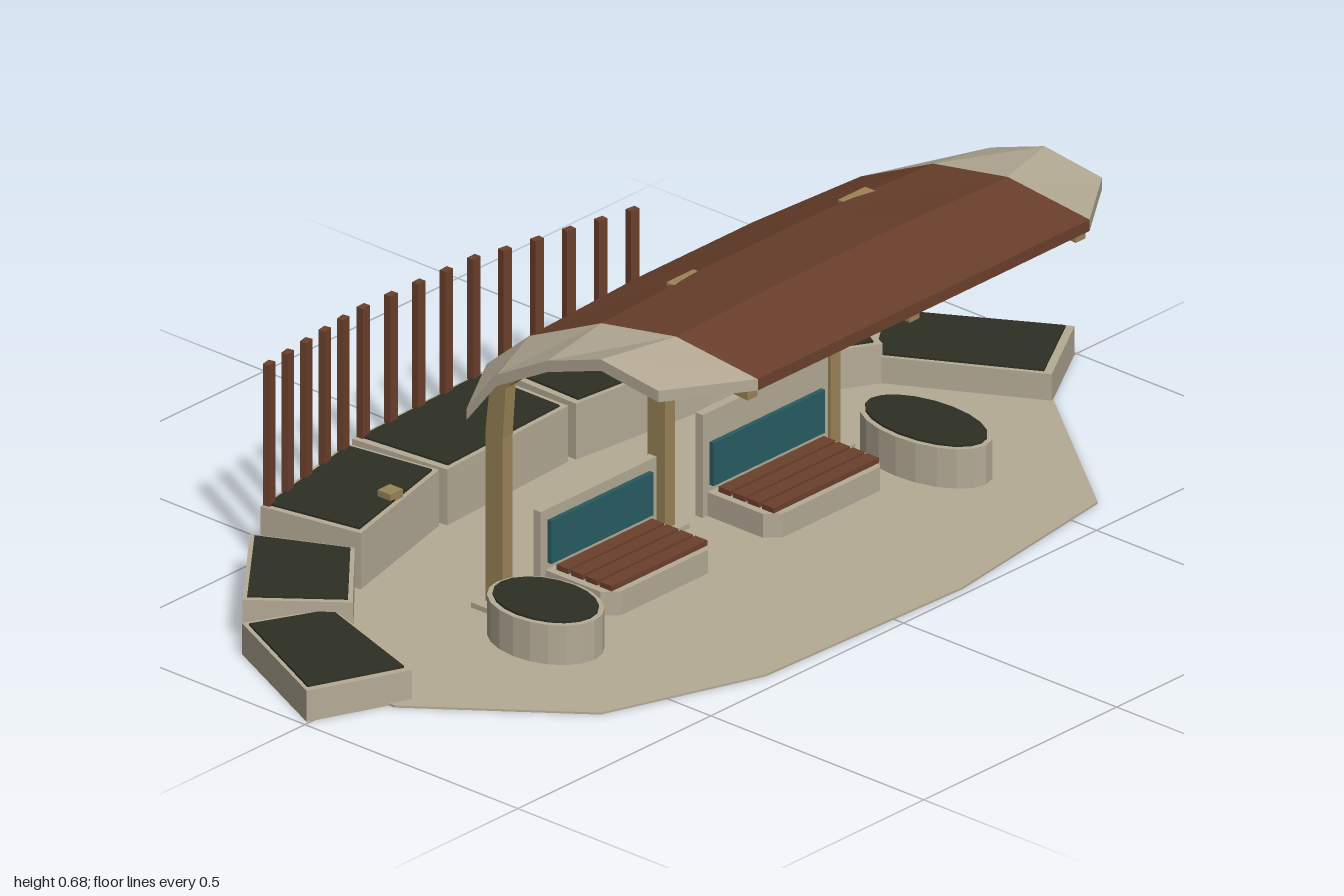
import * as THREE from 'three';

const mat = (name, color) => Object.assign(new THREE.MeshStandardMaterial({ color }), { name });

export function createModel() {
  const root = new THREE.Group();
  root.name = 'shelterPlaza';
  const stone = mat('stone', 0xb5ab96);
  const wood = mat('redBrownWood', 0x6b402c);
  const soil = mat('darkPlanting', 0x2e2f24);
  const timber = mat('tanTimber', 0x9a8357);
  const teal = mat('tealPanel', 0x285c62);

  const add = (name, geo, material, parent = root) => {
    const m = new THREE.Mesh(geo, material);
    m.name = name;
    parent.add(m);
    return m;
  };
  const box = (name, x0, x1, y0, y1, z0, z1, material, parent) => {
    const m = add(name, new THREE.BoxGeometry(x1 - x0, y1 - y0, z1 - z0), material, parent);
    m.position.set((x0 + x1) / 2, (y0 + y1) / 2, (z0 + z1) / 2);
    return m;
  };
  // Upright prism over a plan outline of [x, z] points
  const prism = (pts, y0, y1) => {
    const s = new THREE.Shape(pts.map(([x, z]) => new THREE.Vector2(x, -z)));
    const g = new THREE.ExtrudeGeometry(s, { depth: y1 - y0, bevelEnabled: false });
    return g.rotateX(-Math.PI / 2).translate(0, y0, 0);
  };

  // Paved floor
  add('floor', prism([
    [0.1, -0.83], [0.43, -0.58], [0.485, -0.17], [0.465, 0.32], [0.355, 0.625], [0.07, 0.845],
    [-0.1, 0.85], [-0.2, 0.74], [-0.33, 0.58], [-0.4, 0.27], [-0.41, -0.09], [-0.37, -0.43], [-0.21, -0.71], [-0.1, -0.8],
  ], 0, 0.004), stone);

  // Ring of planters: outer edge first, then inner edge
  const planters = [
    [0.055, [-0.3, -0.82], [0, -0.995], [0.1, -0.825], [-0.19, -0.665]],
    [0.08, [-0.5, -0.48], [-0.34, -0.77], [-0.165, -0.68], [-0.325, -0.4]],
    [0.112, [-0.555, -0.1], [-0.515, -0.44], [-0.32, -0.415], [-0.355, -0.095]],
    [0.112, [-0.55, 0.27], [-0.565, -0.08], [-0.36, -0.08], [-0.345, 0.25]],
    [0.112, [-0.487, 0.577], [-0.545, 0.29], [-0.355, 0.26], [-0.285, 0.54]],
    [0.083, [-0.3, 0.83], [-0.467, 0.627], [-0.295, 0.545], [-0.15, 0.71]],
    [0.06, [-0.005, 0.99], [-0.27, 0.865], [-0.195, 0.715], [0.075, 0.805]],
  ];
  for (const [h, ...q] of planters) {
    const g = new THREE.Group();
    g.name = 'planter';
    root.add(g);
    const cx = q.reduce((a, p) => a + p[0] / 4, 0), cz = q.reduce((a, p) => a + p[1] / 4, 0);
    add('planterWall', prism(q, 0, h), stone, g);
    add('planting', prism(q.map(([x, z]) => [cx + (x - cx) * 0.91, cz + (z - cz) * 0.92]), h, h + 0.004), soil, g);
  }

  // Screen of upright slats along the three tall planters, stepping down in height
  let count = 0;
  for (const k of [4, 3, 2]) {
    const [, a, b] = planters[k];
    for (let i = 0; i < 5; i++, count++) {
      const t = 0.06 + 0.215 * i, top = 0.385 - 0.0043 * count;
      const m = add('screenSlat', new THREE.BoxGeometry(0.014, top - 0.1, 0.02), wood);
      m.position.set(a[0] + (b[0] - a[0]) * t + 0.008, (top + 0.1) / 2, a[1] + (b[1] - a[1]) * t);
      m.rotation.y = Math.atan2(a[0] - b[0], a[1] - b[1]);
    }
  }

  // Small lamps on the inner rims
  for (const [x, z] of [[-0.36, -0.24], [-0.375, 0.085], [-0.343, 0.4]])
    box('rimLamp', x - 0.015, x + 0.015, 0.11, 0.128, z - 0.016, z + 0.016, timber);

  // Oval planters
  for (const [x, z, a, b] of [[0.09, 0.475, 0.115, 0.085], [0.1, -0.5, 0.14, 0.08]]) {
    const wall = add('ovalPlanter', new THREE.CylinderGeometry(1, 1, 0.08, 20), stone);
    wall.position.set(x, 0.04, z);
    wall.scale.set(a, 1, b);
    const top = add('ovalPlanting', new THREE.CylinderGeometry(1, 1, 0.004, 20), soil);
    top.position.set(x, 0.082, z);
    top.scale.set(a - 0.01, 1, b - 0.01);
  }
  root.traverse((o) => {
    if (!o.name.startsWith('oval')) return;
    o.geometry = o.geometry.toNonIndexed();
    o.geometry.computeVertexNormals();
  });

  // Benches with slatted seats and coloured backs
  for (const [z0, z1, top] of [[0.05, 0.35, 0.166], [-0.395, -0.07, 0.203]]) {
    const g = new THREE.Group();
    g.name = 'bench';
    root.add(g);
    box('backWall', -0.052, -0.035, 0, top, z0, z1, stone, g);
    box('backPanel', -0.035, -0.026, 0.062, 0.145, z0 + 0.018, z1 - 0.018, teal, g);
    const a = z0 + 0.012, b = z1 - 0.012, c = 0.025;
    add('seatBase', prism([[-0.035, a], [0.12 - c, a], [0.12, a + c], [0.12, b - c], [0.12 - c, b], [-0.035, b]], 0, 0.05), stone, g);
    for (let i = 0; i < 4; i++)
      box('seatSlat', -0.022 + i * 0.034, 0.006 + i * 0.034, 0.05, 0.06, a + 0.014, b - 0.014, wood, g);
  }

  // Posts that bend into the roof ribs
  const rib = new THREE.Shape([
    [-0.08, 0], [-0.04, 0], [-0.04, 0.34], [-0.033, 0.44], [0.05, 0.51], [0.2, 0.582], [0.365, 0.614], [0.535, 0.6],
    [0.535, 0.626], [0.365, 0.645], [0.18, 0.612], [0.01, 0.532], [-0.066, 0.468], [-0.08, 0.35],
  ].map(([x, y]) => new THREE.Vector2(x, y)));
  for (const z of [-0.42, 0.01, 0.43]) {
    const g = new THREE.ExtrudeGeometry(rib, { depth: 0.026, bevelEnabled: false });
    add('postAndRib', g.translate(0, 0, z - 0.013), timber);
    box('postFoot', -0.095, -0.025, 0, 0.014, z - 0.035, z + 0.035, stone);
  }

  // Curved roof: a loft through stations [z, top profile]
  const mid = [[-0.1, 0.473], [0.01, 0.562], [0.18, 0.641], [0.365, 0.675], [0.567, 0.655]];
  const edge = [[-0.09, 0.463], [0.01, 0.55], [0.18, 0.63], [0.355, 0.661], [0.547, 0.641]];
  const end = [[-0.005, 0.457], [0.065, 0.545], [0.185, 0.611], [0.31, 0.654], [0.445, 0.637]];
  const loft = (stations) => {
    const n = 10, pos = [], idx = [], last = (stations.length - 1) * n;
    for (const [z, top] of stations) {
      for (const [x, y] of top) pos.push(x, y, z);
      for (const [x, y] of [...top].reverse()) pos.push(x, y - 0.022, z);
    }
    for (let s = 0; s < last; s += n)
      for (let i = 0; i < n; i++) {
        const j = (i + 1) % n;
        idx.push(s + i, s + n + i, s + j, s + j, s + n + i, s + n + j);
      }
    for (let i = 0; i < 4; i++) {
      const q = [i, i + 1, 8 - i, 9 - i];
      idx.push(q[0], q[1], q[2], q[0], q[2], q[3]);
      const r = q.map((v) => v + last);
      idx.push(r[0], r[2], r[1], r[0], r[3], r[2]);
    }
    const g = new THREE.BufferGeometry();
    g.setAttribute('position', new THREE.Float32BufferAttribute(pos, 3));
    g.setIndex(idx);
    const flat = g.toNonIndexed();
    flat.computeVertexNormals();
    return flat;
  };
  add('roof', loft([[-0.43, edge], [-0.15, mid], [0.15, mid], [0.43, edge]]), wood);
  add('roofEndFront', loft([[0.43, edge], [0.575, end]]), stone);
  add('roofEndBack', loft([[-0.575, end], [-0.43, edge]]), stone);

  // Ceiling lamps
  for (const z of [-0.235, 0.21])
    box('ceilingLamp', 0.165, 0.215, 0.582, 0.638, z - 0.035, z + 0.035, timber);

  return root;
}
